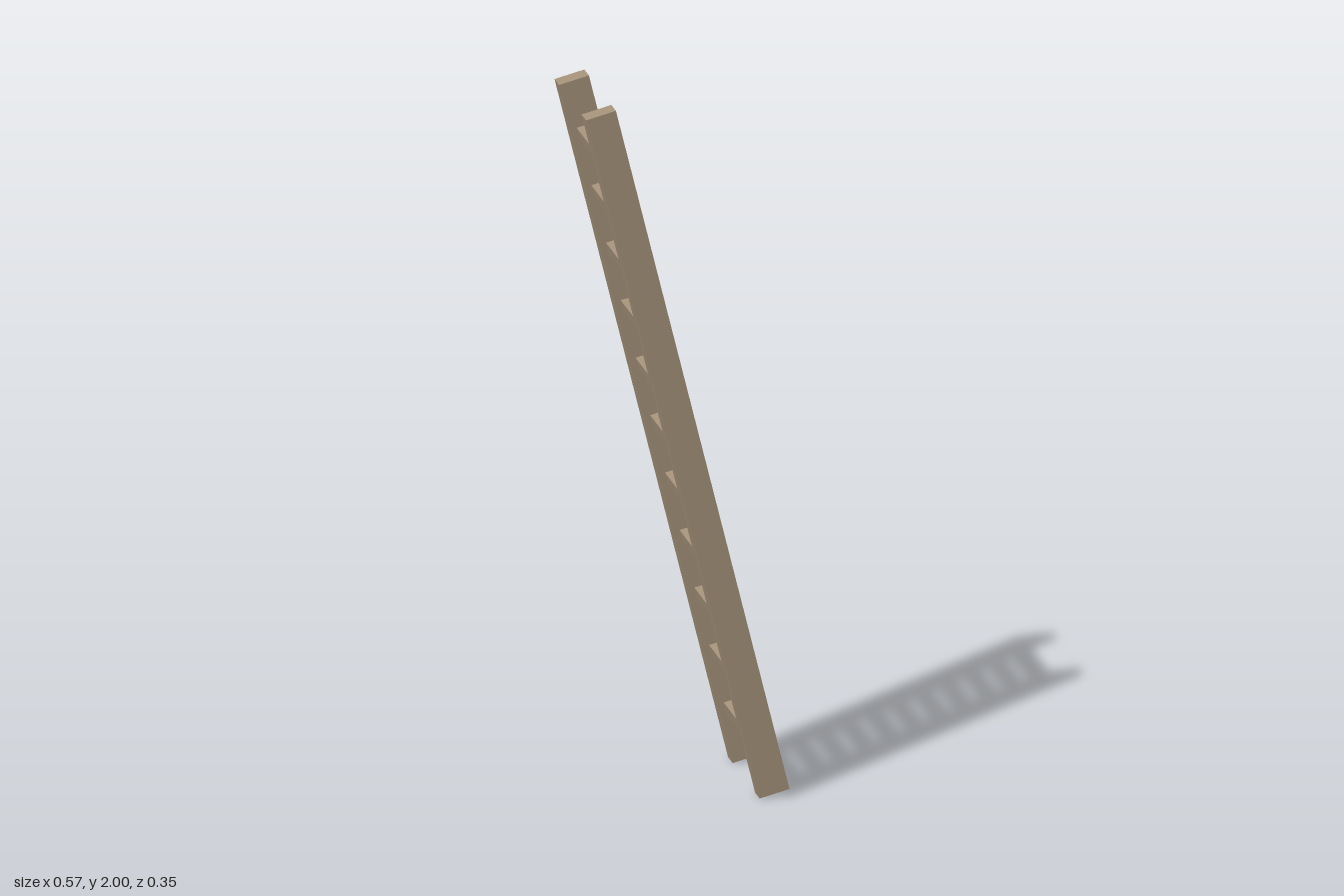
import * as THREE from 'three';

export function createModel() {
  const model = new THREE.Group();
  model.name = 'ladder';
  const wood = new THREE.MeshStandardMaterial({ color: 0xa39079, flatShading: true });

  const addBeam = (name, size, position) => {
    const mesh = new THREE.Mesh(new THREE.BoxGeometry(...size), wood);
    mesh.name = name;
    mesh.position.set(...position);
    frame.add(mesh);
  };

  // Upright ladder, tilted as a whole toward -x
  const frame = new THREE.Group();
  frame.name = 'leaningFrame';
  frame.position.y = 1;
  frame.rotation.z = THREE.MathUtils.degToRad(13.7);
  model.add(frame);

  // Side rails
  const railWidth = 0.05, railZ = 0.148;
  addBeam('frontRail', [0.0855, 2.038, railWidth], [0, 0, railZ]);
  addBeam('backRail', [0.0855, 2.038, railWidth], [0, 0, -railZ]);

  // Evenly spaced rungs between the rails
  const rungCount = 11, pitch = 0.1727;
  const rungLength = 2 * railZ - railWidth;
  for (let i = 0; i < rungCount; i++) {
    const y = (i - (rungCount - 1) / 2) * pitch + 0.004;
    addBeam(`rung${i + 1}`, [0.0505, 0.034, rungLength], [0, y, 0]);
  }
  return model;
}
